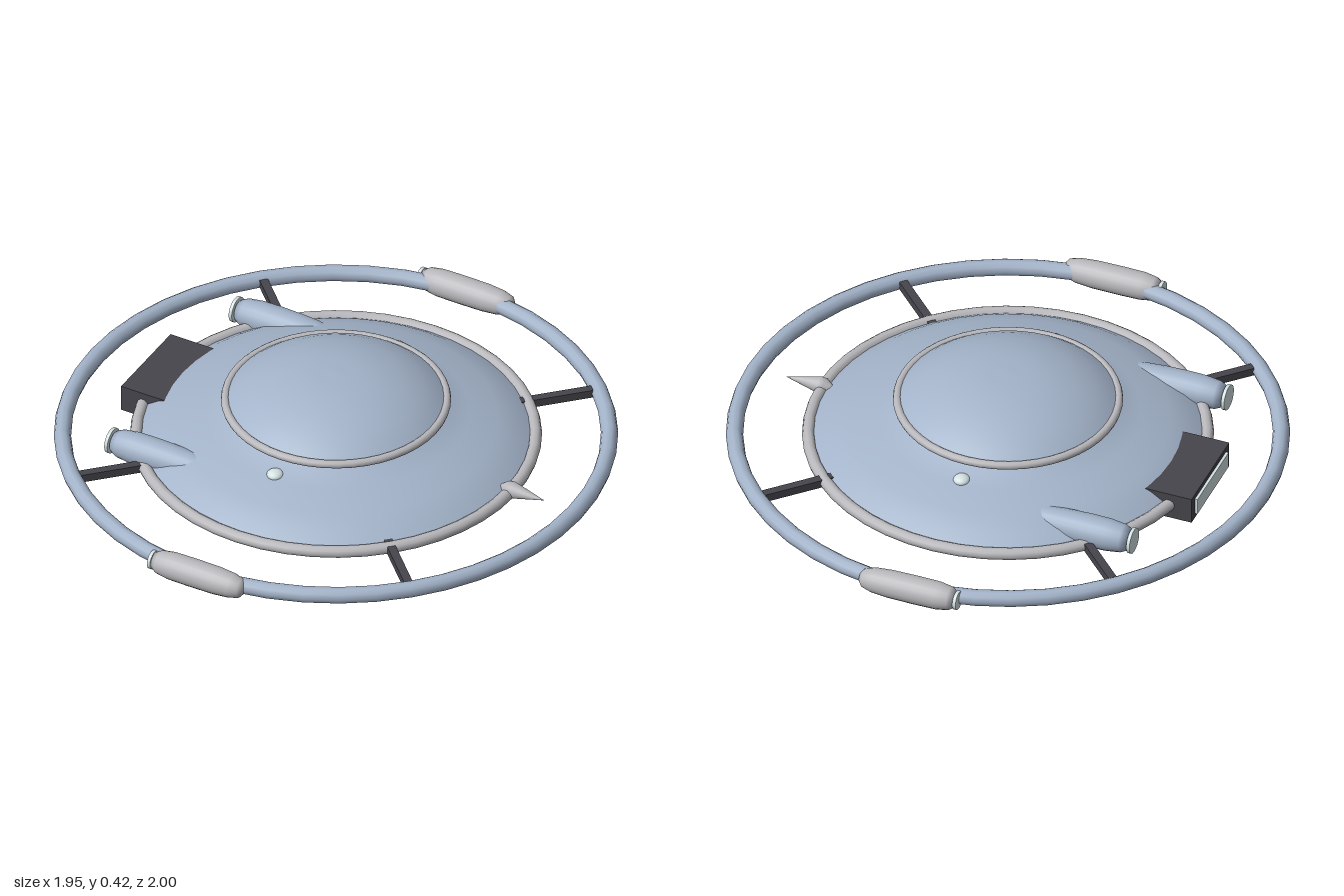
import * as THREE from 'three';

const mat = (color) => new THREE.MeshStandardMaterial({ color });
const vec = (pts) => pts.map(([r, y]) => new THREE.Vector2(r, y));

export function createModel() {
  const model = new THREE.Group();
  const blue = mat(0xa3b3c9), grey = mat(0xb9b9bd), dark = mat(0x45454c), pale = mat(0xd5e2e4);

  const add = (name, geometry, material, x = 0, y = 0, z = 0) => {
    const mesh = new THREE.Mesh(geometry, material);
    mesh.name = name;
    mesh.position.set(x, y, z);
    model.add(mesh);
    return mesh;
  };
  const hoop = (name, radius, tube, y, material, sides = 10) =>
    add(name, new THREE.TorusGeometry(radius, tube, sides, 48).rotateX(Math.PI / 2), material, 0, y, 0);
  // Turned body lying along x, nose towards +x
  const turned = (pts) => new THREE.LatheGeometry(vec(pts), 20).rotateZ(-Math.PI / 2);

  // Saucer body: lower and upper shells and the dome
  add('lowerHull', new THREE.LatheGeometry(vec([
    [0, 0.004], [0.15, 0.008], [0.3, 0.023], [0.43, 0.045], [0.55, 0.077], [0.63, 0.107], [0.69, 0.15],
  ]), 48), blue);
  add('upperHull', new THREE.LatheGeometry(vec([
    [0.69, 0.15], [0.63, 0.192], [0.56, 0.222], [0.46, 0.252], [0.36, 0.28], [0.35, 0.305],
  ]), 48), blue);
  add('dome', new THREE.LatheGeometry(vec([
    [0.385, 0.305], [0.35, 0.333], [0.3, 0.362], [0.23, 0.392], [0.14, 0.414], [0.07, 0.419], [0, 0.421],
  ]), 48), blue);
  add('domeFloor', new THREE.CircleGeometry(0.385, 48).rotateX(Math.PI / 2), blue, 0, 0.305, 0);

  // Trim hoops and the outer ring
  hoop('rimTrim', 0.69, 0.022, 0.155, grey);
  hoop('domeTrim', 0.383, 0.015, 0.305, grey);
  hoop('bellyTrim', 0.43, 0.008, 0.044, grey, 8);
  hoop('outerRing', 0.945, 0.03, 0.155, blue, 10);

  // Four diagonal struts
  for (let i = 0; i < 4; i++) {
    const a = Math.PI / 4 + i * Math.PI / 2;
    const strut = add('strut', new THREE.BoxGeometry(0.28, 0.03, 0.03), dark,
      Math.cos(a) * 0.8, 0.155, Math.sin(a) * 0.8);
    strut.rotation.y = -a;
  }

  const podShape = turned([
    [0, -0.185], [0.03, -0.185], [0.042, -0.165], [0.049, -0.12], [0.05, -0.04],
    [0.049, 0.06], [0.044, 0.12], [0.034, 0.155], [0.018, 0.168], [0, 0.17],
  ]);
  const thrusterShape = turned([
    [0, -0.63], [0.038, -0.63], [0.05, -0.605], [0.057, -0.55], [0.058, -0.48],
    [0.056, -0.4], [0.052, -0.33], [0.043, -0.27], [0.025, -0.22], [0, -0.2],
  ]);
  const disc = (radius) => new THREE.CylinderGeometry(radius, radius, 0.012, 20).rotateZ(Math.PI / 2);

  for (const s of [-1, 1]) {
    // Ring pods with nozzle discs
    add('ringPod', podShape, grey, 0, 0.155, s * 0.95);
    add('ringPodNozzle', disc(0.034), pale, -0.192, 0.155, s * 0.95);
    // Rear thrusters, partly sunk into the hull
    add('thruster', thrusterShape, blue, 0, 0.18, s * 0.44);
    add('thrusterNozzle', disc(0.046), pale, -0.64, 0.18, s * 0.44);
    // Deck lights
    add('deckLight', new THREE.SphereGeometry(0.03, 16, 10).scale(1, 0.6, 1), pale, 0, 0.256, s * 0.43);
  }

  // Rear engine block with exhaust plate
  add('engineBlock', new THREE.BoxGeometry(0.2, 0.1, 0.35), dark, -0.653, 0.152, 0);
  add('exhaustPlate', new THREE.BoxGeometry(0.012, 0.062, 0.29), pale, -0.757, 0.152, 0);

  // Pointed probe on the opposite side
  add('probe', turned([[0, 0.64], [0.028, 0.68], [0.03, 0.7], [0, 0.825]]), grey, 0, 0.165, 0);

  return model;
}
